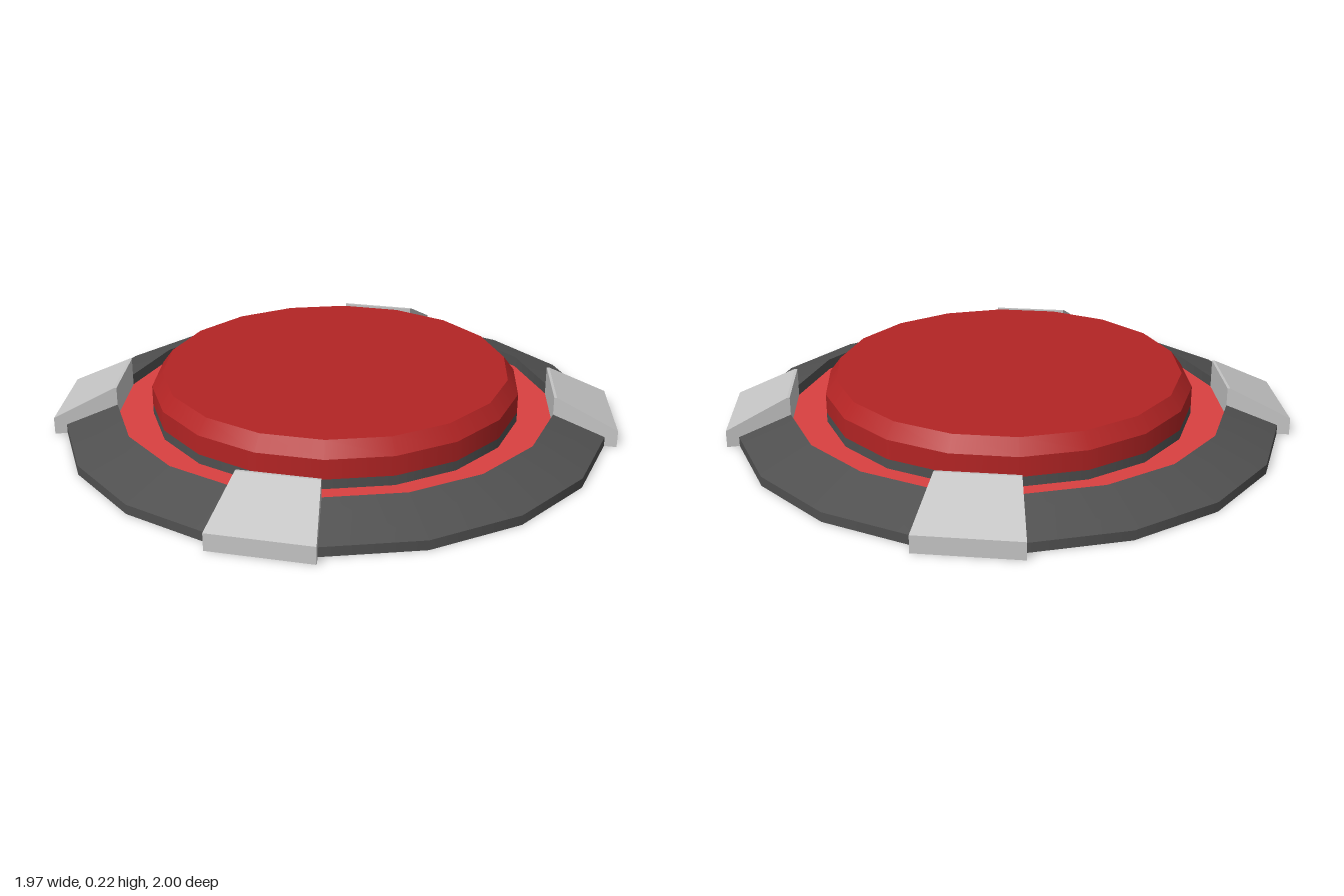
import * as THREE from 'three';

const SIDES = 18;
const STEP = (Math.PI * 2) / SIDES;

function material(name, color, side = THREE.DoubleSide) {
  const m = new THREE.MeshStandardMaterial({ color, side });
  m.name = name;
  return m;
}

// Revolves each profile segment on its own, so edges between segments stay sharp
function revolve(name, profile, mat, first = 0, count = SIDES) {
  const group = new THREE.Group();
  group.name = name;
  for (let i = 0; i < profile.length - 1; i++) {
    const pts = [profile[i], profile[i + 1]].map(([r, y]) => new THREE.Vector2(r, y));
    const geo = new THREE.LatheGeometry(pts, count, first * STEP, count * STEP);
    const mesh = new THREE.Mesh(geo, mat);
    mesh.name = name + 'Surface';
    group.add(mesh);
  }
  return group;
}

// Extrudes a radial profile and bends it into a one-step wedge
function wedge(name, profile, mat, index) {
  const shape = new THREE.Shape(profile.map(([r, y]) => new THREE.Vector2(r, y)));
  const geo = new THREE.ExtrudeGeometry(shape, { depth: 1, bevelEnabled: false });
  const pos = geo.attributes.position;
  for (let i = 0; i < pos.count; i++) {
    const r = pos.getX(i);
    const a = (index + 1 - pos.getZ(i)) * STEP;
    pos.setXYZ(i, r * Math.sin(a), pos.getY(i), r * Math.cos(a));
  }
  geo.computeVertexNormals();
  const mesh = new THREE.Mesh(geo, mat);
  mesh.name = name;
  return mesh;
}

export function createModel() {
  const model = new THREE.Group();
  model.name = 'floorButton';

  const dark = material('darkGrey', 0x505050);
  const grey = material('lightGrey', 0xc4c4c4, THREE.FrontSide);
  const red = material('buttonRed', 0xb32424);
  const bright = material('brightRed', 0xd94040);

  // Sloped base ring, open underneath, interrupted by the four clamps
  const base = [[1, 0], [1, 0.035], [0.81, 0.105], [0.81, 0.065]];
  for (const [first, count] of [[3, 3], [7, 4], [12, 3], [16, 4]]) {
    model.add(revolve('baseRing', base, dark, first, count));
  }

  // Clamps gripping the base
  const clamp = [
    [0.81, 0.065], [0.812, 0.105], [1, 0.035], [1, 0],
    [1.045, 0], [1.045, 0.063], [0.82, 0.172], [0.81, 0.172],
  ];
  for (const index of [2, 6, 11, 15]) model.add(wedge('clamp', clamp, grey, index));

  // Recessed red channel and the collar around the button
  model.add(revolve('channel', [[0.81, 0.065], [0.68, 0.065]], bright));
  model.add(revolve('collar', [[0.68, 0.065], [0.68, 0.1]], dark));

  // Button shell with a bevelled rim
  model.add(revolve('button', [[0.68, 0.1], [0.68, 0.172], [0.64, 0.225], [0, 0.225]], red));

  return model;
}
